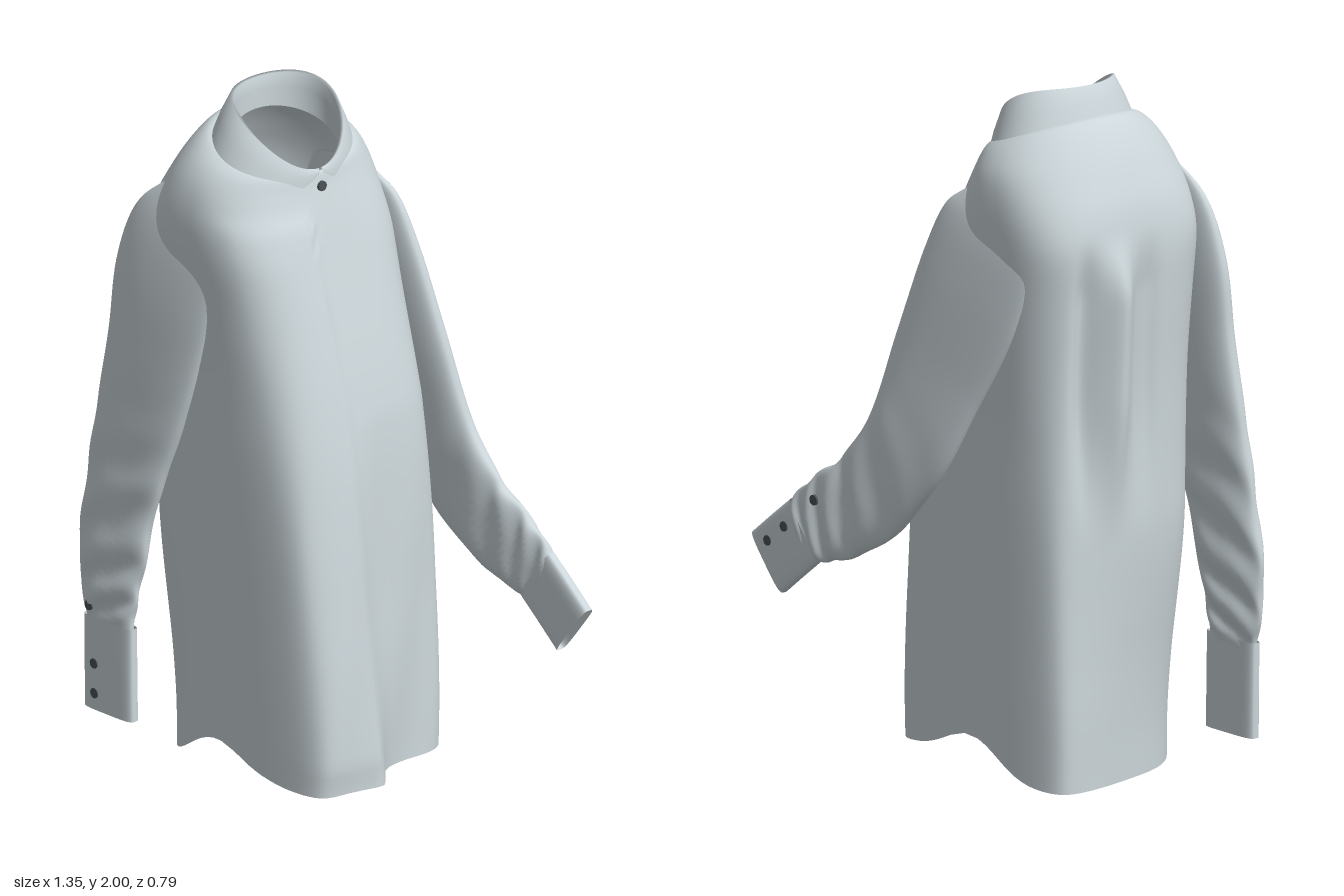
import * as THREE from 'three';

const fabric = new THREE.MeshStandardMaterial({ color: 0xccd6da, side: THREE.DoubleSide });
fabric.name = 'pale blue grey fabric';
const dark = new THREE.MeshStandardMaterial({ color: 0x4c5256 });
dark.name = 'dark button';

const V = (x, y, z) => new THREE.Vector3(x, y, z);
const smooth = THREE.MathUtils.smoothstep;
const spow = (v, e) => Math.sign(v) * Math.pow(Math.abs(v), e);
const bell = (v, c, w) => Math.exp(-(((v - c) / w) ** 2));

// Skin a list of point rows; closed rows share their seam so normals stay smooth
function loft(name, rows, closed) {
  const n = rows[0].length, pos = [], idx = [];
  rows.forEach((r) => r.forEach((p) => pos.push(p.x, p.y, p.z)));
  for (let i = 0; i < rows.length - 1; i++) {
    for (let j = 0; j < (closed ? n : n - 1); j++) {
      const k = (j + 1) % n;
      const a = i * n + j, b = i * n + k, c = a + n, d = b + n;
      idx.push(a, c, b, b, c, d);
    }
  }
  const g = new THREE.BufferGeometry();
  g.setAttribute('position', new THREE.Float32BufferAttribute(pos, 3));
  g.setIndex(idx);
  g.computeVertexNormals();
  const m = new THREE.Mesh(g, fabric);
  m.name = name;
  return m;
}

// Two smooth curves that carry six values per station
function stations(list) {
  const a = new THREE.CatmullRomCurve3(list.map((s) => V(s[0], s[1], s[2])), false, 'catmullrom', 0.5);
  const b = new THREE.CatmullRomCurve3(list.map((s) => V(s[3], s[4], s[5] || 0)), false, 'catmullrom', 0.5);
  return { a, b };
}

function makeBody() {
  // y, back x, front x, right z, left z, tilt
  const { a, b } = stations([
    [0, -0.54, 0.3, -0.28, 0.325, 0],
    [0.2, -0.54, 0.285, -0.28, 0.325, 0],
    [0.4, -0.53, 0.265, -0.28, 0.325, 0],
    [0.6, -0.52, 0.24, -0.28, 0.325, 0],
    [0.8, -0.515, 0.215, -0.28, 0.325, 0],
    [1.0, -0.515, 0.185, -0.28, 0.325, 0],
    [1.2, -0.52, 0.142, -0.285, 0.325, 0],
    [1.4, -0.53, 0.087, -0.292, 0.332, 0],
    [1.55, -0.533, 0.042, -0.298, 0.342, 0],
    [1.67, -0.515, 0.006, -0.297, 0.342, 0],
    [1.76, -0.475, -0.02, -0.283, 0.325, 0.04],
    [1.82, -0.43, -0.03, -0.25, 0.293, 0.15],
    [1.853, -0.385, -0.036, -0.21, 0.25, 0.3],
    [1.855, -0.35, -0.038, -0.178, 0.208, 0.38],
  ]);
  const rows = [], N = 180, M = 78;
  for (let i = 0; i <= M; i++) {
    const p = a.getPoint(i / M), q = b.getPoint(i / M);
    const y0 = p.x, cx = (p.y + p.z) / 2, rx = (p.z - p.y) / 2;
    const cz = (q.x + q.y) / 2, rz = (q.y - q.x) / 2;
    const e0 = 0.62 + 0.34 * smooth(y0, 1.55, 1.84);
    const low = Math.max(0, 1 - y0 / 1.1);
    const boxy = 1 - smooth(y0, 0.6, 1.5), tail = 1 - smooth(y0, 0.1, 0.8);
    const row = [];
    for (let j = 0; j < N; j++) {
      const t = (j / N) * Math.PI * 2, c = Math.cos(t), s = Math.sin(t);
      // lower corners are squarer, except the left back one
      const e = e0 - (c < 0 && s > 0 ? 0 : 0.24) * Math.abs(Math.sin(2 * t)) * boxy;
      let x = cx + rx * spow(c, e);
      const z = cz + rz * spow(s, e);
      const front = smooth(c, 0.1, 0.5), back = smooth(-c, 0.2, 0.5);
      // right front panel falls back, left panel laps over the placket
      x -= front * 0.085 * low * smooth(0.1 - z, 0, 0.1);
      x += front * 0.012 * smooth(z, 0.093, 0.1) * smooth(y0, 0, 0.1) * (1 - smooth(y0, 1.65, 1.72));
      x += front * 0.008 * low * Math.sin(z * 24 + y0 * 5);
      // soft pleat down the back, tail swinging in towards the left
      const pleat = smooth(y0, 0.7, 1.15) * (1 - smooth(y0, 1.42, 1.62));
      x += back * pleat * (0.03 * bell(z, -0.165, 0.03) - 0.05 * bell(z, -0.07, 0.045) + 0.025 * bell(z, 0.04, 0.04));
      x += Math.max(0, -c) ** 0.5 * 0.2 * (z + 0.28) * tail;
      // curved shirt-tail hem
      const hem = 0.045 * smooth(x, -0.2, 0.1) + 0.115 * bell(x, -0.15, 0.15);
      const y = y0 + q.z * (cx - x) + hem * Math.max(0, 1 - y0 / 0.6) ** 2;
      row.push(V(x, y, z));
    }
    rows.push(row);
  }
  return loft('shirtBody', rows, true);
}

// Flattened tube: x, y, z, half width, half thickness
function makeSleeve(name, list, wrinkle, e = 0.8) {
  const { a, b } = stations(list), rows = [], M = 70, N = 40;
  for (let i = 0; i <= M; i++) {
    const u = i / M, p = a.getPoint(u), q = b.getPoint(u), d = a.getTangent(u);
    const side = V(-d.y, d.x, 0).normalize();
    const amt = wrinkle * smooth(u, 0.4, 0.75) * (1 - smooth(u, 0.94, 1));
    const row = [];
    for (let j = 0; j < N; j++) {
      const t = (j / N) * Math.PI * 2, s = Math.sin(t);
      const w = q.x * spow(Math.cos(t), e) * (1 + amt * 4 * Math.sin(u * 44 + s));
      const h = q.y * spow(s, e) + amt * s * Math.sin(u * 52 + Math.cos(t) * 3.5);
      row.push(V(p.x + side.x * w, p.y + side.y * w, p.z + h));
    }
    rows.push(row);
  }
  return loft(name, rows, true);
}

// Fold-over collar with rounded points, split in a V at the front
function makeCollar() {
  const N = 96, rows = [[], [], [], [], [], []];
  for (let j = 0; j <= N; j++) {
    const t = 0.03 + (j / N) * (Math.PI * 2 - 0.06);
    const c = Math.cos(t), s = Math.sin(t), f = (1 + c) / 2;
    const off = Math.min(t, Math.PI * 2 - t);
    const top = 1.995 - 0.185 * Math.pow(f, 2.2);
    const low = 1.895 - 0.14 * f + 0.05 * Math.max(0, 1 - off / 0.5) ** 2;
    const ring = (cx, rx, rz, y) => V(cx + rx * c, y, 0.012 + 0.018 * f + rz * s);
    const mid = (k) => low + (top - low) * k;
    rows[0].push(ring(-0.18, 0.138, 0.172, mid(0.05)));
    rows[1].push(ring(-0.178, 0.14, 0.17, mid(0.6)));
    rows[2].push(ring(-0.177, 0.142, 0.165, top));
    rows[3].push(ring(-0.178, 0.15, 0.176, top + 0.003));
    rows[4].push(ring(-0.186, 0.163, 0.208, mid(0.55)));
    rows[5].push(ring(-0.195, 0.172, 0.238, low));
  }
  return loft('collar', rows, false);
}

function button(name, x, y, z, axis) {
  const g = new THREE.CylinderGeometry(0.015, 0.015, 0.008, 16);
  if (axis === 'z') g.rotateX(Math.PI / 2);
  else g.rotateZ(Math.PI / 2);
  const m = new THREE.Mesh(g, dark);
  m.name = name;
  m.position.set(x, y, z);
  return m;
}

export function createModel() {
  const shirt = new THREE.Group();
  shirt.name = 'shirt';
  shirt.add(makeBody(), makeCollar());

  // Hanging sleeve and cuff
  shirt.add(makeSleeve('hangingSleeve', [
    [-0.28, 1.72, 0.285, 0.1, 0.01],
    [-0.315, 1.6, 0.303, 0.18, 0.03],
    [-0.36, 1.43, 0.315, 0.2, 0.042],
    [-0.4, 1.22, 0.325, 0.18, 0.045],
    [-0.455, 1.0, 0.335, 0.16, 0.042],
    [-0.505, 0.8, 0.345, 0.14, 0.036],
    [-0.54, 0.6, 0.352, 0.132, 0.032],
    [-0.548, 0.46, 0.358, 0.112, 0.027],
    [-0.54, 0.35, 0.362, 0.09, 0.02],
  ], 0.008));
  shirt.add(makeSleeve('hangingCuff', [
    [-0.54, 0.37, 0.363, 0.1, 0.02],
    [-0.537, 0.23, 0.364, 0.1, 0.021],
    [-0.535, 0.09, 0.364, 0.1, 0.021],
  ], 0, 0.5));

  // Sleeve bent forward at the elbow, and its cuff
  shirt.add(makeSleeve('bentSleeve', [
    [-0.25, 1.72, -0.24, 0.1, 0.01],
    [-0.22, 1.6, -0.262, 0.19, 0.03],
    [-0.155, 1.43, -0.28, 0.208, 0.04],
    [-0.045, 1.18, -0.305, 0.185, 0.042],
    [0.06, 0.94, -0.332, 0.158, 0.042],
    [0.205, 0.76, -0.347, 0.142, 0.036],
    [0.335, 0.68, -0.355, 0.13, 0.032],
    [0.42, 0.635, -0.357, 0.112, 0.026],
    [0.48, 0.595, -0.357, 0.09, 0.02],
  ], 0.008));
  shirt.add(makeSleeve('bentCuff', [
    [0.455, 0.615, -0.357, 0.1, 0.02],
    [0.535, 0.553, -0.356, 0.1, 0.021],
    [0.615, 0.49, -0.354, 0.1, 0.021],
  ], 0, 0.5));

  // Buttons
  shirt.add(button('collarButton', -0.015, 1.763, 0.035, 'x'));
  [[-0.61, 0.4, 0.381], [-0.585, 0.23, 0.384], [-0.583, 0.14, 0.384]].forEach((p) =>
    shirt.add(button('hangingCuffButton', ...p, 'z')));
  [[0.4, 0.715, -0.381], [0.53, 0.612, -0.376], [0.6, 0.558, -0.375]].forEach((p) =>
    shirt.add(button('bentCuffButton', ...p, 'z')));
  return shirt;
}
